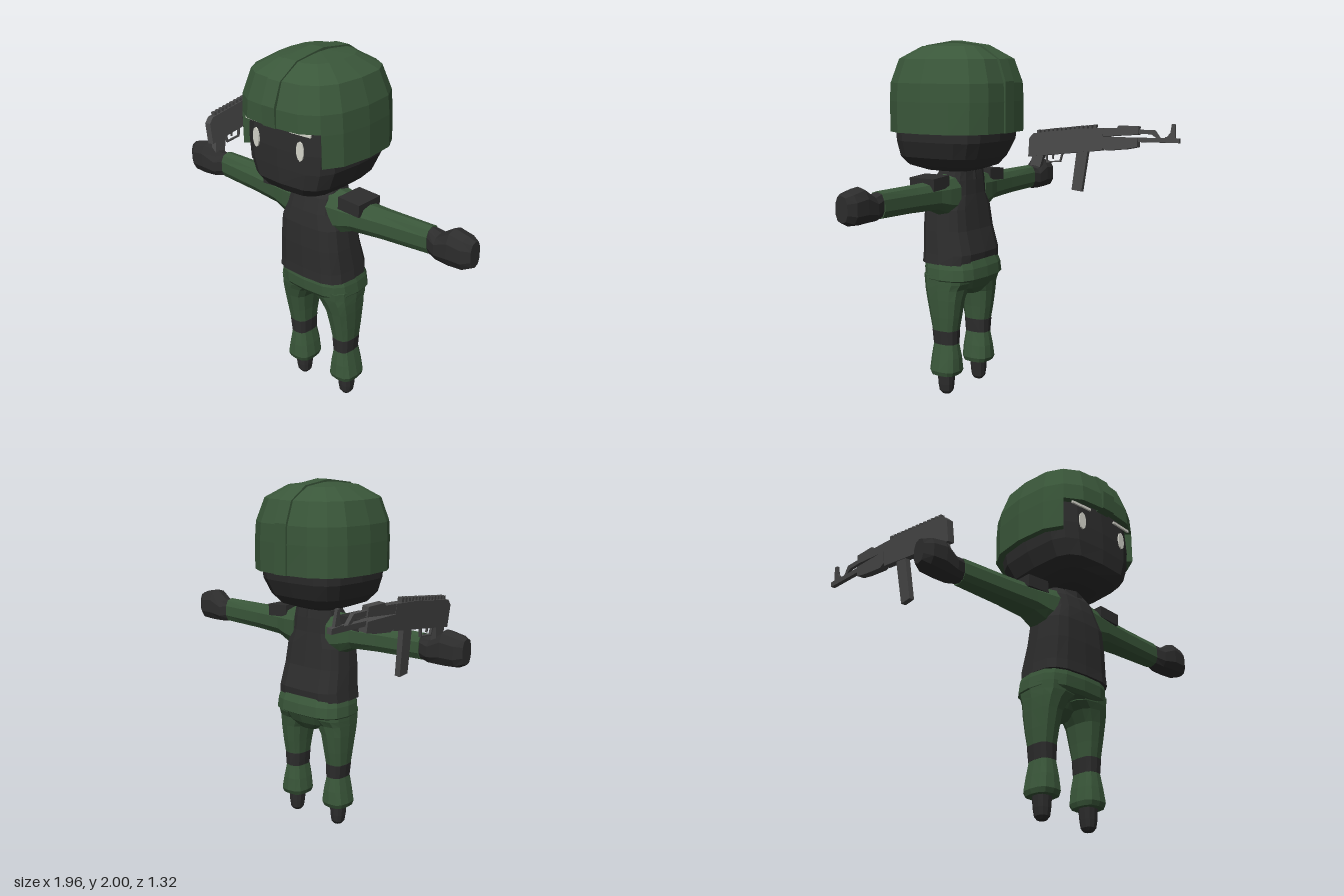
import * as THREE from 'three';

const mat = (name, color) => {
  const m = new THREE.MeshStandardMaterial({ color, flatShading: true });
  m.name = name;
  return m;
};

// Rounded-square point on the unit circle; higher power is squarer
const round = (t, p) => [Math.sin(t), Math.cos(t)].map(v => Math.sign(v) * Math.abs(v) ** (2 / p));

const circle = n => Array.from({ length: n }, (_, i) => (i / n) * Math.PI * 2);

// Skin a list of rings, with fan caps at both ends
function loft(rings, caps = true) {
  const out = [], n = rings[0].length;
  const tri = (...pts) => pts.forEach(p => out.push(...p));
  for (let i = 0; i + 1 < rings.length; i++) for (let j = 0; j < n; j++) {
    const k = (j + 1) % n, a = rings[i][j], b = rings[i][k], c = rings[i + 1][k], d = rings[i + 1][j];
    tri(a, b, c);
    tri(a, c, d);
  }
  const mid = r => [0, 1, 2].map(q => r.reduce((s, p) => s + p[q], 0) / n);
  const first = rings[0], last = rings[rings.length - 1];
  if (caps) for (let j = 0; j < n; j++) {
    const k = (j + 1) % n;
    tri(mid(first), first[k], first[j]);
    tri(mid(last), last[j], last[k]);
  }
  const g = new THREE.BufferGeometry();
  g.setAttribute('position', new THREE.Float32BufferAttribute(out, 3));
  g.computeVertexNormals();
  return g;
}

// Rows of [y, x0, x1, z0, z1], bottom to top
const loftY = (rows, n = 12, p = 3) => loft(rows.map(([y, x0, x1, z0, z1]) => circle(n).map(t => {
  const [s, c] = round(t, p);
  return [(x0 + x1) / 2 + s * (x1 - x0) / 2, y, (z0 + z1) / 2 + c * (z1 - z0) / 2];
})));

// Rows of [x, y0, y1, z0, z1], inside to outside
const loftX = (rows, n = 10, p = 2.6) => loft(rows.map(([x, y0, y1, z0, z1]) => circle(n).map(t => {
  const [s, c] = round(t, p);
  return [x, (y0 + y1) / 2 + c * (y1 - y0) / 2, (z0 + z1) / 2 + s * (z1 - z0) / 2];
})));

// Side outline of [z, y] points given a width across x
function slab(points, width) {
  const g = new THREE.ExtrudeGeometry(new THREE.Shape(points.map(p => new THREE.Vector2(...p))),
    { depth: width, bevelEnabled: false });
  return g.rotateY(-Math.PI / 2).translate(width / 2, 0, 0);
}

function mirrored(geo) {
  const g = geo.index ? geo.toNonIndexed() : geo.clone(), p = g.attributes.position;
  const a = new THREE.Vector3(), b = new THREE.Vector3();
  g.scale(-1, 1, 1);
  for (let i = 0; i < p.count; i += 3) {
    a.fromBufferAttribute(p, i + 1);
    b.fromBufferAttribute(p, i + 2);
    p.setXYZ(i + 1, b.x, b.y, b.z);
    p.setXYZ(i + 2, a.x, a.y, a.z);
  }
  g.computeVertexNormals();
  return g;
}

export function createModel() {
  const model = new THREE.Group();
  model.name = 'soldier';
  const green = mat('green cloth', 0x3a573a), dark = mat('dark fabric', 0x2d2d2d);
  const metal = mat('gun metal', 0x484848), white = mat('eye white', 0xd6d6cc);
  const add = (name, geo, m, parent = model) => {
    const mesh = new THREE.Mesh(geo, m);
    mesh.name = name;
    parent.add(mesh);
  };
  const pair = (name, geo, m) => {
    add('left' + name, geo, m);
    add('right' + name, mirrored(geo), m);
  };

  // Head with eyes and brows
  add('head', loftY([
    [1.28, -.12, .12, .2, .48], [1.31, -.2, .2, .11, .57], [1.36, -.25, .25, .07, .605],
    [1.45, -.285, .285, .03, .612], [1.55, -.295, .295, .018, .612], [1.75, -.285, .285, .03, .6],
  ], 16, 3.8), dark);
  pair('Eye', new THREE.CylinderGeometry(1, 1, .008, 10).rotateX(Math.PI / 2)
    .scale(.023, .052, 1).rotateY(.07).translate(.15, 1.57, .606), white);
  pair('Brow', new THREE.BoxGeometry(.13, .014, .009).rotateY(.07).translate(.155, 1.662, .606), white);
  add('neck', new THREE.CylinderGeometry(.1, .11, .08, 10).translate(0, 1.27, .3), dark);

  // Helmet: the front is cut higher than the sides; doubled angles make the cut upright
  const q = Math.PI / 8;
  const angles = [0, 1, 1.999, 2, 3, 4, 5, 6, 7, 8, 9, 10, 11, 12, 13, 14, 14.001, 15];
  const helmetRows = [
    [1.75, .3, .3], [1.5, .312, .312], [1.5, .345, .343], [1.67, .343, .346], [1.77, .336, .342],
    [1.9, .292, .298], [1.968, .175, .185], [1.985, .05, .05], [1.985, .001, .001],
  ];
  add('helmet', loft(helmetRows.map(([y, rx, rz]) => angles.map(a => {
    const [s, c] = round(a * q, 2.8);
    return [s * rx, Math.max(y, a < 2 || a > 14 ? 1.675 : 1.5), .313 + c * rz];
  })), false), green);
  add('helmetRidge', slab([
    [.662, 1.675], [.665, 1.78], [.618, 1.9], [.5, 1.975], [.31, 2], [.12, 1.975], [.005, 1.9],
    [-.036, 1.78], [-.038, 1.5], [0, 1.5], [0, 1.7], [.61, 1.7], [.61, 1.675],
  ], .084), green);

  // Vest and hips
  add('vest', loftY([
    [.765, -.228, .228, .135, .46], [.82, -.222, .222, .13, .458], [.95, -.21, .21, .165, .46],
    [1.07, -.198, .198, .18, .455], [1.15, -.16, .16, .19, .44], [1.23, -.148, .148, .195, .415],
    [1.28, -.135, .135, .2, .38],
  ], 16, 3.4), dark);
  add('jacketHem', loftY([
    [.66, -.228, .228, .15, .43], [.68, -.24, .24, .11, .445], [.74, -.234, .234, .115, .45],
    [.8, -.218, .218, .14, .44],
  ], 16, 3), green);
  add('seat', loftY([
    [.58, -.06, .06, .18, .26], [.62, -.15, .15, .15, .32], [.69, -.2, .2, .118, .35],
  ], 12, 2.4), green);

  // Legs, knee bands and boots
  pair('Thigh', loftY([
    [.38, .1, .218, .215, .365], [.46, .092, .225, .2, .38], [.56, .078, .232, .185, .4],
    [.62, .045, .235, .175, .415], [.655, 0, .236, .155, .425], [.7, 0, .236, .15, .43],
  ]), green);
  pair('KneeBand', loftY([[.3, .104, .211, .217, .362], [.38, .099, .219, .213, .367]]), dark);
  pair('Shin', loftY([
    [.12, .088, .232, .212, .368], [.145, .08, .24, .2, .378], [.22, .09, .226, .205, .372],
    [.3, .105, .21, .218, .361],
  ]), green);
  pair('Boot', loftY([
    [.003, .138, .184, .265, .315], [.02, .126, .197, .252, .328], [.06, .12, .204, .247, .333],
    [.14, .112, .21, .243, .337],
  ], 10, 2.6), dark);

  // Arms, shoulder pads and mittens
  pair('Sleeve', loftX([
    [.12, 1.02, 1.27, .2, .41], [.2, 1.045, 1.255, .21, .4], [.27, 1.075, 1.24, .225, .39],
    [.45, 1.085, 1.237, .235, .37], [.725, 1.092, 1.238, .242, .347],
  ]), green);
  pair('ShoulderPad', new THREE.BoxGeometry(.14, .068, .165).rotateZ(-.06).translate(.27, 1.232, .31), dark);
  pair('Mitten', loftX([
    [.715, 1.1, 1.235, .25, .34], [.78, 1.085, 1.222, .235, .365], [.86, 1.08, 1.275, .23, .378],
    [.94, 1.085, 1.258, .235, .375], [.982, 1.105, 1.243, .265, .345],
  ]), dark);

  // Rifle held in the right hand, pointing backwards
  const rifle = new THREE.Group();
  rifle.name = 'rifle';
  rifle.position.set(-.825, 1.35, .3);
  rifle.rotation.set(0, .05, .12);
  model.add(rifle);
  const part = (name, points, width) =>
    add(name, slab(points, width).translate(0, -1.35, -.3), metal, rifle);
  part('receiver', [[.34, 1.28], [.34, 1.4], [.31, 1.43], [0, 1.47], [-.17, 1.48], [-.17, 1.345], [.19, 1.3]], .04);
  part('lowerHandguard', [[-.17, 1.36], [-.2, 1.345], [-.33, 1.36], [-.4, 1.375], [-.4, 1.43], [-.17, 1.43]], .046);
  part('upperHandguard', [[-.17, 1.43], [-.17, 1.48], [-.26, 1.485], [-.27, 1.5], [-.4, 1.5], [-.4, 1.45]], .036);
  part('gasTube', [[-.39, 1.455], [-.39, 1.48], [-.5, 1.48], [-.54, 1.43], [-.52, 1.43], [-.48, 1.455]], .02);
  part('barrel', [[-.39, 1.405], [-.39, 1.432], [-.57, 1.435], [-.57, 1.442], [-.658, 1.437], [-.658, 1.41]], .026);
  part('frontSight', [[-.575, 1.435], [-.6, 1.47], [-.605, 1.52], [-.625, 1.52], [-.632, 1.435]], .016);
  part('magazine', [[0, 1.36], [-.075, 1.36], [-.048, 1.083], [.02, 1.09]], .03);
  part('grip', [[.31, 1.3], [.23, 1.31], [.265, 1.17], [.335, 1.17]], .032);
  part('triggerGuard', [[.225, 1.31], [.215, 1.25], [.115, 1.258], [.1, 1.32], [.11, 1.32], [.122, 1.266], [.207, 1.259], [.215, 1.31]], .014);
  part('trigger', [[.18, 1.31], [.165, 1.31], [.168, 1.275], [.174, 1.275]], .01);
  for (let i = 0; i < 14; i++) {
    const z = .29 - i * .03, y = 1.432 + (.31 - z) * .12;
    part('railTooth', [[z, y - .01], [z, y + .018], [z - .018, y + .02], [z - .018, y - .01]], .026);
  }
  return model;
}
